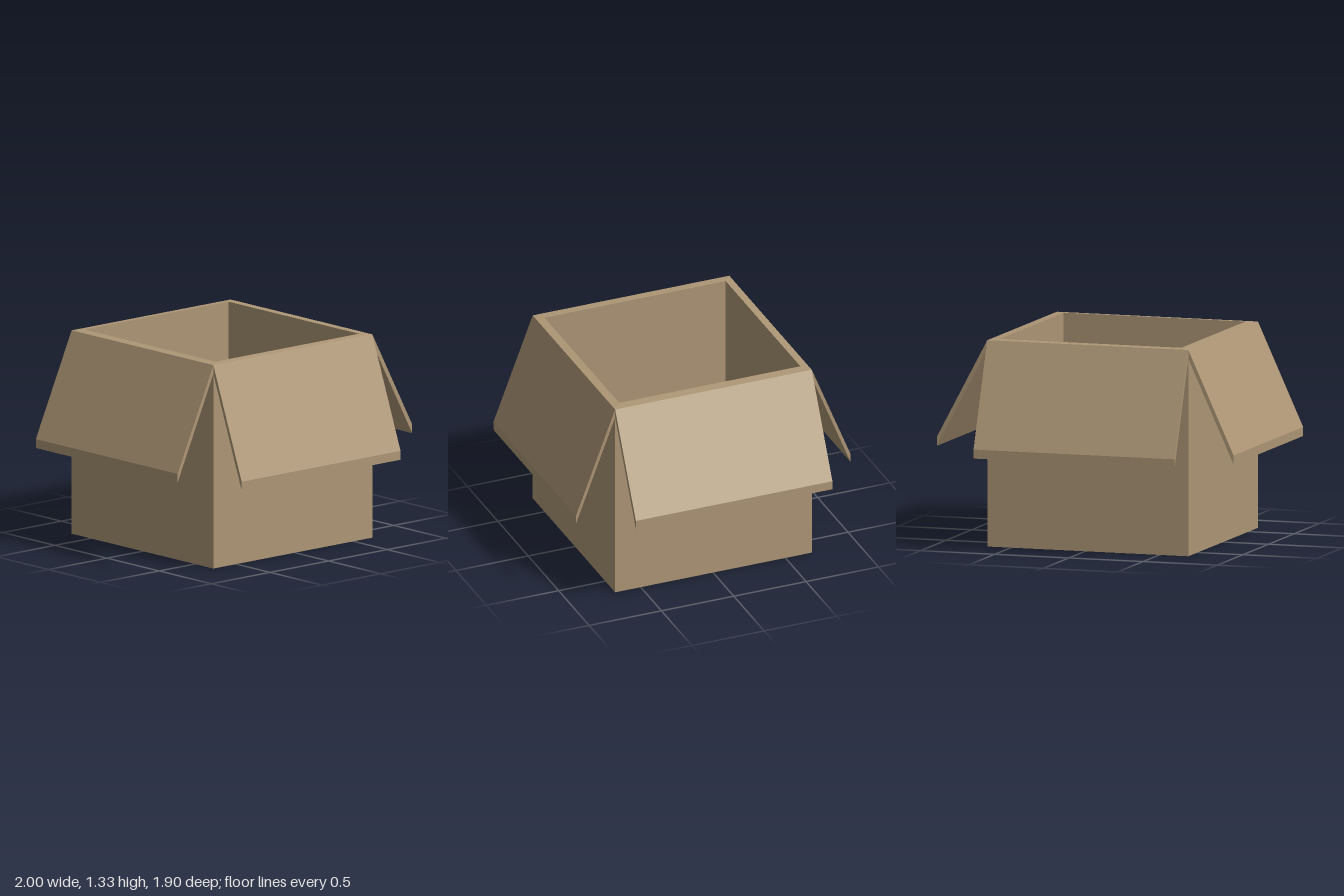
import * as THREE from 'three';

const cardboard = new THREE.MeshStandardMaterial({ color: 0xae9776, flatShading: true });
const LEFT = 0.66, RIGHT = -0.695, FRONT = 0.677, BACK = -0.682, TOP = 1.328;

// Open box: rectangular rings joined from the underside, up over the rim, down to the floor
function makeBody() {
  const rings = [
    [RIGHT, LEFT, BACK, FRONT, 0],
    [RIGHT, LEFT, BACK, FRONT, TOP],
    [-0.63, 0.595, -0.63, 0.622, TOP + 0.004],
    [-0.63, 0.595, -0.63, 0.622, 0.055],
  ].map(([x0, x1, z0, z1, y]) => [[x0, y, z1], [x1, y, z1], [x1, y, z0], [x0, y, z0]]);
  const points = [];
  const quad = (a, b, c, d) => points.push(...a, ...b, ...c, ...a, ...c, ...d);
  for (let r = 0; r < 3; r++) {
    for (let i = 0; i < 4; i++) {
      const j = (i + 1) % 4;
      quad(rings[r][i], rings[r][j], rings[r + 1][j], rings[r + 1][i]);
    }
  }
  quad(...[...rings[0]].reverse()); // underside
  quad(...rings[3]); // inside floor
  const geometry = new THREE.BufferGeometry();
  geometry.setAttribute('position', new THREE.Float32BufferAttribute(points, 3));
  geometry.computeVertexNormals();
  const body = new THREE.Mesh(geometry, cardboard);
  body.name = 'boxBody';
  return body;
}

// Sloping flap: its side profile, hinged on the rim, extruded along the wall
function makeFlap(name, x, z, angle, width, reach, tipTop) {
  const thick = 0.058;
  const profile = new THREE.Shape([
    new THREE.Vector2(0, TOP),
    new THREE.Vector2(0, TOP - thick),
    new THREE.Vector2(reach, tipTop - thick),
    new THREE.Vector2(reach, tipTop),
  ]);
  const geometry = new THREE.ExtrudeGeometry(profile, { depth: width, bevelEnabled: false });
  geometry.translate(0, 0, -width / 2);
  const flap = new THREE.Mesh(geometry, cardboard);
  flap.name = name;
  flap.position.set(x, 0, z);
  flap.rotation.y = angle;
  return flap;
}

export function createModel() {
  const box = new THREE.Group();
  box.name = 'openCardboardBox';
  const midX = (LEFT + RIGHT) / 2, midZ = (FRONT + BACK) / 2;
  const wide = LEFT - RIGHT, deep = FRONT - BACK;
  box.add(
    makeBody(),
    makeFlap('leftFlap', LEFT, midZ, 0, deep, 0.34, 0.69),
    makeFlap('rightFlap', RIGHT, midZ, Math.PI, deep, 0.305, 0.663),
    makeFlap('frontFlap', midX, FRONT, -Math.PI / 2, wide, 0.271, 0.612),
    makeFlap('backFlap', midX, BACK, Math.PI / 2, wide, 0.268, 0.66),
  );
  return box;
}
